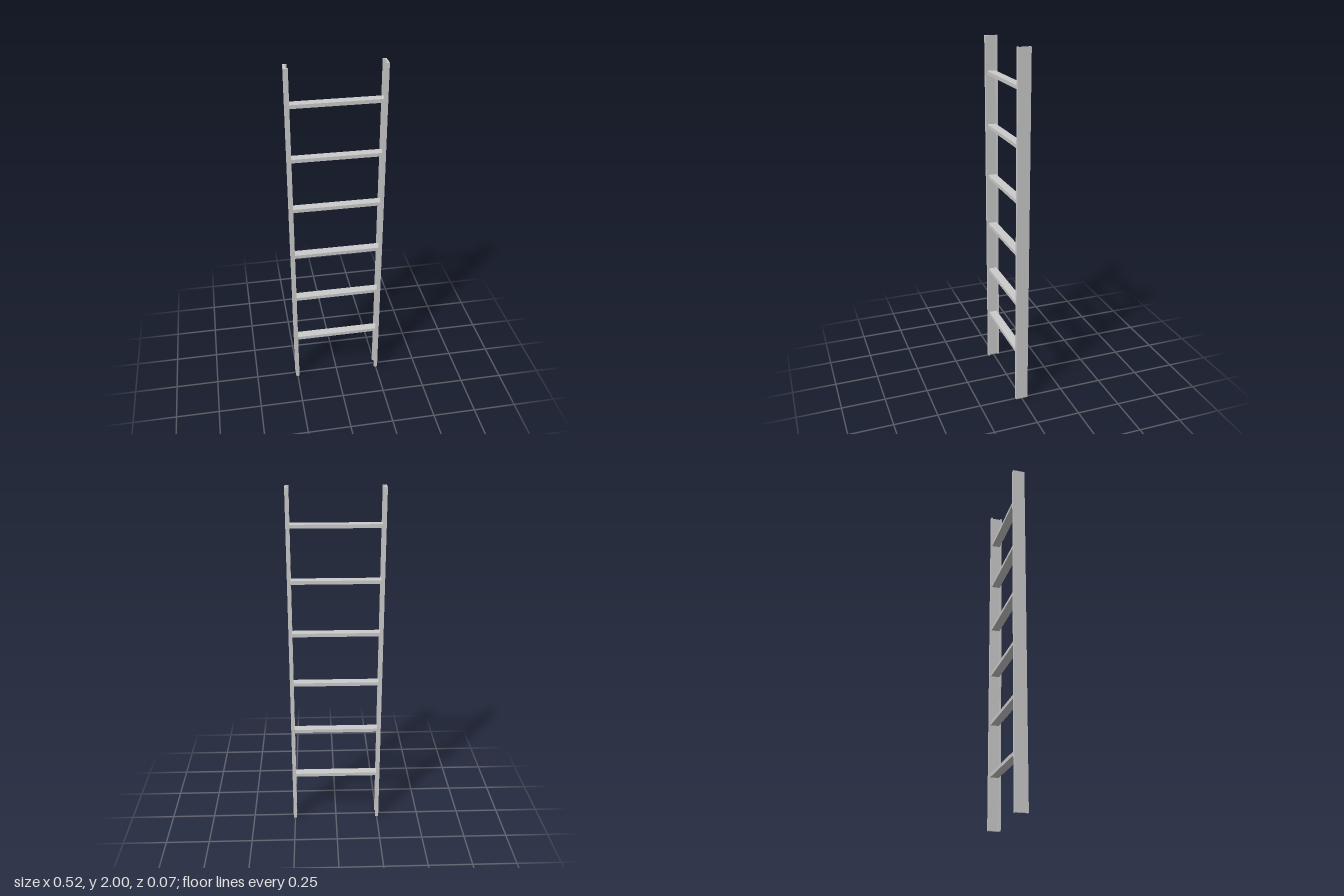
import * as THREE from 'three';

export function createModel() {
  const ladder = new THREE.Group();
  ladder.name = 'ladder';
  const material = new THREE.MeshStandardMaterial({ color: 0xcccccc, flatShading: true });

  const height = 2;
  const outerX = 0.26, webX = 0.25, lipX = 0.24; // rail section, across
  const outerZ = 0.035, innerZ = 0.026;          // rail section, front to back

  // Side rails: C-shaped channels opening towards the rungs
  for (const [name, s] of [['leftRail', 1], ['rightRail', -1]]) {
    const section = new THREE.Shape([
      [outerX, -outerZ], [outerX, outerZ], [lipX, outerZ], [lipX, innerZ],
      [webX, innerZ], [webX, -innerZ], [lipX, -innerZ], [lipX, -outerZ],
    ].map(([x, z]) => new THREE.Vector2(s * x, z)));
    const geometry = new THREE.ExtrudeGeometry(section, { depth: height, bevelEnabled: false });
    geometry.rotateX(-Math.PI / 2); // extrude upwards
    const rail = new THREE.Mesh(geometry, material);
    rail.name = name;
    ladder.add(rail);
  }

  // Rungs: flat bars seated inside the channels
  const rungGeometry = new THREE.BoxGeometry(2 * webX, 0.02, 0.049);
  for (let i = 1; i <= 6; i++) {
    const rung = new THREE.Mesh(rungGeometry, material);
    rung.name = `rung${i}`;
    rung.position.y = 0.3 * i;
    ladder.add(rung);
  }

  return ladder;
}
